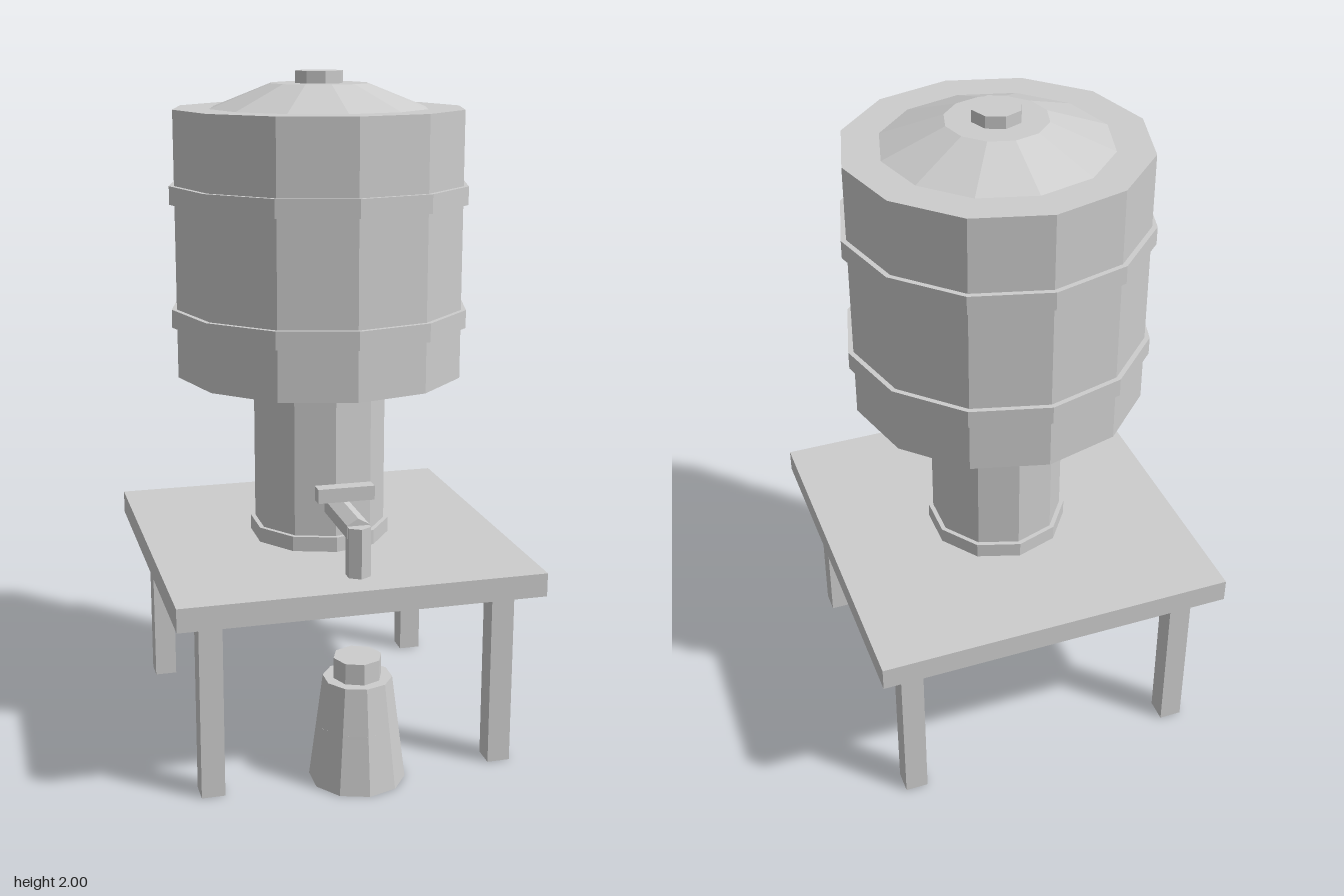
import * as THREE from 'three';

export function createModel() {
  const model = new THREE.Group();
  model.name = 'barrelDispenser';
  const grey = new THREE.MeshStandardMaterial({ color: 0xcccccc, flatShading: true });
  grey.name = 'plain grey';
  const CZ = -0.019; // axis of the barrel and table
  const SPOUT_Z = 0.418; // axis of the spout and jug

  function add(name, geometry, x, y, z) {
    const mesh = new THREE.Mesh(geometry, grey);
    mesh.name = name;
    mesh.position.set(x, y, z);
    model.add(mesh);
    return mesh;
  }
  const box = (name, w, h, d, x, y, z) => add(name, new THREE.BoxGeometry(w, h, d), x, y, z);

  // Upright faceted prism or cone between two heights
  function prism(name, sides, y0, y1, rBottom, rTop, z) {
    const geometry = new THREE.CylinderGeometry(rTop, rBottom, y1 - y0, sides);
    return add(name, geometry, 0, (y0 + y1) / 2, z);
  }

  // Table
  box('tableTop', 1.072, 0.07, 1.072, 0, 0.575, CZ);
  for (const sx of [-1, 1]) {
    for (const sz of [-1, 1]) {
      box('tableLeg', 0.068, 0.54, 0.068, sx * 0.431, 0.27, CZ + sz * 0.431);
    }
  }

  // Column with collars
  prism('column', 10, 0.61, 1.12, 0.198, 0.198, CZ);
  prism('lowerCollar', 10, 0.61, 0.655, 0.212, 0.212, CZ);
  prism('upperCollar', 10, 1.085, 1.12, 0.212, 0.212, CZ);

  // Barrel, hoops, lid and cap
  prism('barrel', 12, 1.12, 1.895, 0.428, 0.428, CZ);
  for (const y of [1.27, 1.628]) prism('hoop', 12, y, y + 0.053, 0.443, 0.443, CZ);
  prism('domedLid', 12, 1.895, 1.965, 0.322, 0.143, CZ);
  prism('lidCap', 8, 1.965, 2.0, 0.071, 0.071, CZ);

  // Tap: horizontal pipe, downward spout and handle bar
  const pipe = new THREE.CylinderGeometry(0.038, 0.038, 0.258, 6).rotateX(Math.PI / 2);
  add('tapPipe', pipe, 0, 0.75, 0.289);
  prism('tapSpout', 6, 0.62, 0.767, 0.037, 0.037, SPOUT_Z);
  box('tapHandle', 0.168, 0.042, 0.042, 0, 0.82, 0.275);

  // Jug under the tap
  prism('jug', 10, 0, 0.313, 0.14, 0.1, SPOUT_Z);
  prism('jugBand', 10, 0.165, 0.175, 0.1189, 0.1177, SPOUT_Z);
  prism('jugNeck', 8, 0.313, 0.375, 0.071, 0.071, SPOUT_Z);

  return model;
}
